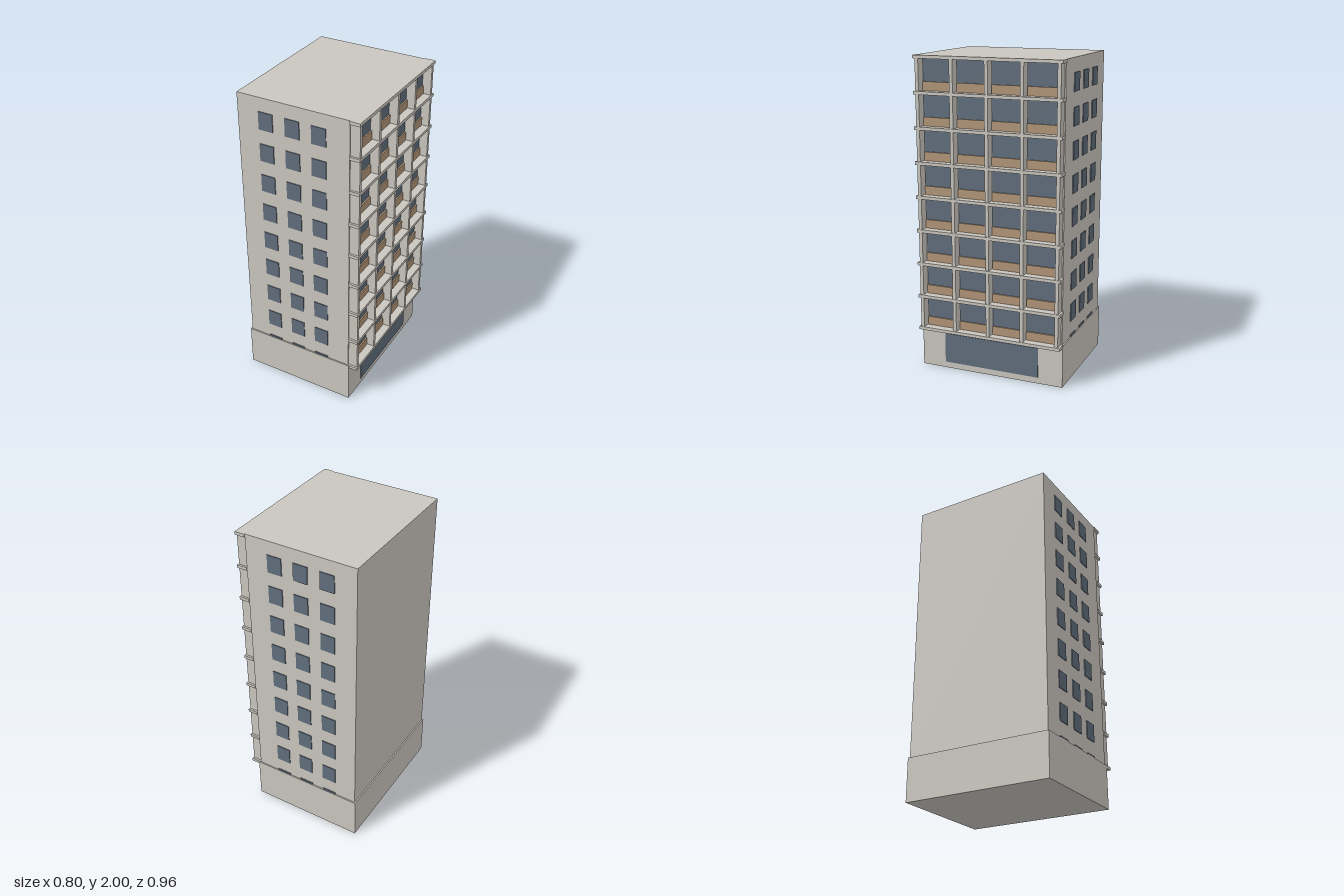
import * as THREE from 'three';

export function createModel() {
  const model = new THREE.Group();
  model.name = 'apartmentTower';
  const concrete = new THREE.MeshStandardMaterial({ name: 'concrete', color: 0xc9c5be });
  const glass = new THREE.MeshStandardMaterial({ name: 'glass', color: 0x5f6d7b });
  const wood = new THREE.MeshStandardMaterial({ name: 'balconyTan', color: 0xb09477 });

  // Box given by its low and high corners
  function box(name, material, x0, x1, y0, y1, z0, z1) {
    const mesh = new THREE.Mesh(new THREE.BoxGeometry(x1 - x0, y1 - y0, z1 - z0), material);
    mesh.position.set((x0 + x1) / 2, (y0 + y1) / 2, (z0 + z1) / 2);
    mesh.name = name;
    model.add(mesh);
  }

  // Ground floor and tower
  const wallX = 0.335;
  box('groundFloor', concrete, -0.4, 0.344, 0, 0.275, -0.478, 0.478);
  box('tower', concrete, -0.391, wallX, 0.275, 2, -0.47, 0.47);
  box('entranceWindow', glass, 0.344, 0.348, 0.04, 0.235, -0.318, 0.318);

  // Facade grid: floor slabs and vertical fins
  const floors = 8, bays = 4, floorH = 0.215, bayW = 0.226, slabBase = 0.26;
  for (let i = 0; i <= floors; i++) {
    const y = slabBase + i * floorH;
    box('floorSlab', concrete, wallX, 0.4, y, y + 0.02, -0.476, 0.476);
  }
  for (let j = 0; j <= bays; j++) {
    const z = (j - bays / 2) * bayW;
    box('fin', concrete, wallX, 0.395, slabBase + 0.01, 1.999, z - 0.011, z + 0.011);
  }

  // Glazing and low parapet in every bay
  for (let i = 0; i < floors; i++) {
    const y = slabBase + 0.02 + i * floorH;
    for (let j = 0; j < bays; j++) {
      const z = (j - (bays - 1) / 2) * bayW;
      box('balconyWindow', glass, wallX, wallX + 0.005, y, y + 0.19, z - 0.098, z + 0.098);
      box('balconyPanel', wood, wallX, wallX + 0.014, y, y + 0.055, z - 0.098, z + 0.098);
    }
  }

  // Windows on the two end walls, lowest row partly behind the ground floor
  for (const side of [-1, 1]) {
    for (let row = 0; row < 9; row++) {
      const y = 1.801 - row * 0.2032;
      for (const x of [-0.203, -0.029, 0.142]) {
        const z0 = side > 0 ? 0.47 : -0.475;
        box('sideWindow', glass, x - 0.047, x + 0.047, y, y + 0.112, z0, z0 + 0.005);
      }
    }
  }
  return model;
}
